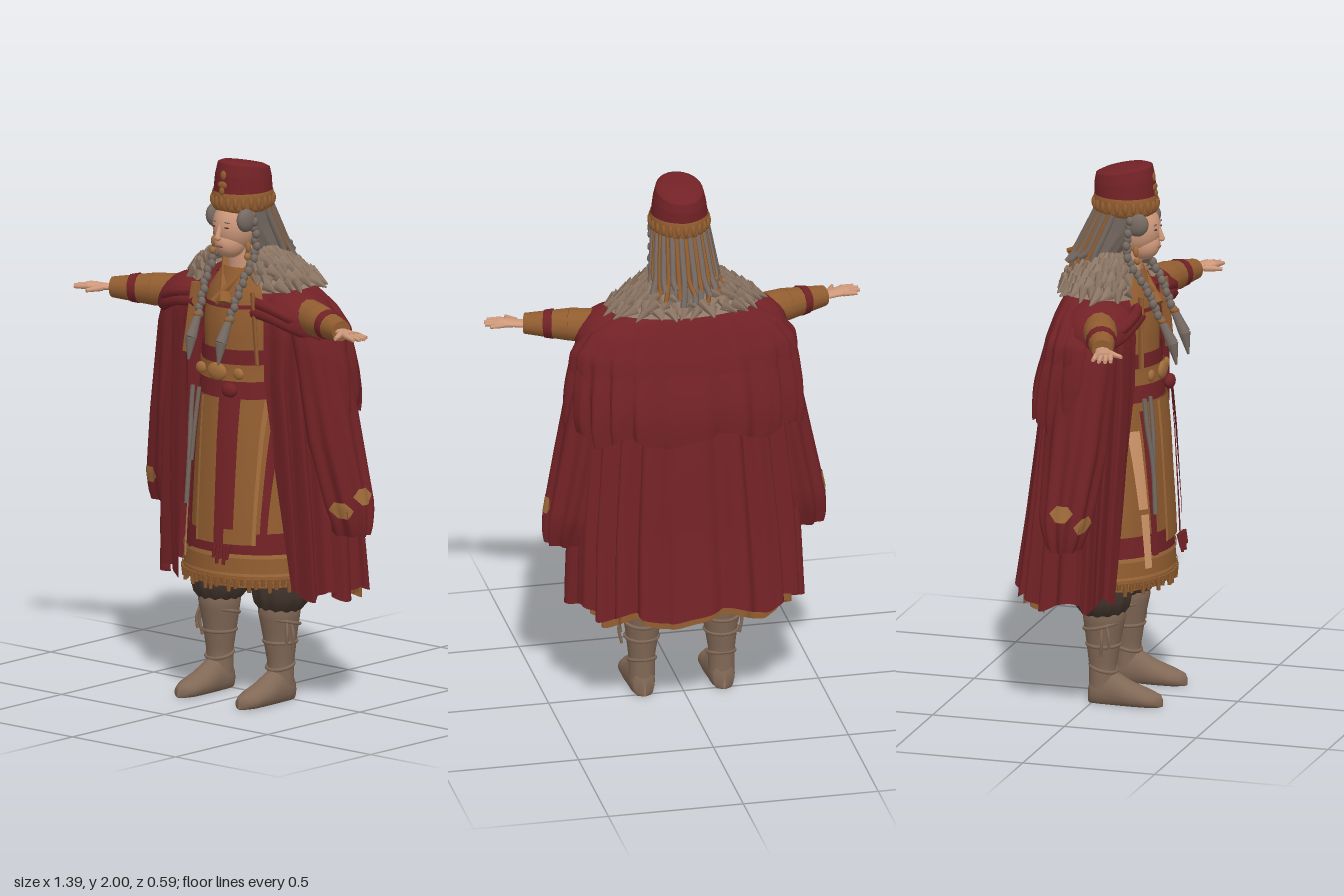
import * as THREE from 'three';
import { mergeGeometries } from 'three/addons/utils/BufferGeometryUtils.js';

const paint = (name, color) => Object.assign(new THREE.MeshStandardMaterial({ color, side: THREE.DoubleSide }), { name });
const V = (x, y, z) => new THREE.Vector3(x, y, z);
const { sin, cos, PI, abs, sign, sqrt, min, max, round } = Math;

// Linear lookup in a small profile table whose first column runs steadily
function at(table, k) {
  let i = 0;
  const up = table[1][0] > table[0][0];
  while (i < table.length - 2 && (up ? k > table[i + 1][0] : k < table[i + 1][0])) i++;
  const a = table[i], b = table[i + 1];
  const t = min(1, max(0, (k - a[0]) / (b[0] - a[0])));
  return a.map((n, j) => n + (b[j] - n) * t);
}

// Surface from a rule fn(u, v) -> [x, y, z]
function sheet(nu, nv, fn, closed = false) {
  const pos = [], idx = [], cols = closed ? nu : nu + 1;
  for (let j = 0; j <= nv; j++) for (let i = 0; i < cols; i++) pos.push(...fn(i / nu, j / nv));
  for (let j = 0; j < nv; j++) for (let i = 0; i < nu; i++) {
    const a = j * cols + i, b = j * cols + (i + 1) % cols, c = a + cols, d = b + cols;
    idx.push(a, c, b, b, c, d);
  }
  const g = new THREE.BufferGeometry();
  g.setAttribute('position', new THREE.Float32BufferAttribute(pos, 3));
  g.setIndex(idx);
  g.computeVertexNormals();
  return g;
}

// Closed elliptical loft; rows are [y, x, z, rx, rz] from top to bottom
const loft = (rows, n = 0, amp = 0, nv = 14) => sheet(n ? 64 : 28, nv, (u, v) => {
  const [y, x, z, rx, rz] = at(rows, rows[0][0] + (rows[rows.length - 1][0] - rows[0][0]) * v);
  const a = u * 2 * PI, k = 1 + amp * v * cos(n * a);
  return [x + rx * k * sin(a), y, z + rz * k * cos(a)];
}, true);

// Tapered rod, ball and smooth cord
function limb(p, q, r1, r2, flat = 1, sides = 14) {
  const d = q.clone().sub(p), g = new THREE.CylinderGeometry(r2, r1, d.length(), sides);
  g.scale(1, 1, flat);
  g.applyQuaternion(new THREE.Quaternion().setFromUnitVectors(V(0, 1, 0), d.normalize()));
  return g.translate((p.x + q.x) / 2, (p.y + q.y) / 2, (p.z + q.z) / 2);
}
const ball = (x, y, z, rx, ry, rz, n = 10) => new THREE.SphereGeometry(1, n, round(n * .7)).scale(rx, ry, rz).translate(x, y, z);
const cord = (pts, r) => new THREE.TubeGeometry(new THREE.CatmullRomCurve3(pts), 10, r, 6);

// Profiles: body [y, z, rx, rz]; cape [y, half width, back, front, opening angle]
const BODY = [[1.6, .06, .08, .08], [1.5, .04, .16, .14], [1.4, .035, .17, .16], [1.24, .03, .165, .165],
  [1, .02, .2, .195], [.7, .02, .235, .21], [.44, .01, .262, .23]];
const CAPE = [[1.59, .13, .08, .08, 150], [1.525, .26, .115, .15, 152], [1.47, .33, .13, .18, 154], [1.4, .365, .145, .185, 156],
  [1.2, .36, .18, .18, 156], [1, .38, .205, .17, 153], [.7, .405, .24, .15, 150], [.42, .415, .28, .13, 147]];

// Strip lying on the front of the body between two x values
const panel = (x0, x1, y0, y1, off) => sheet(6, 14, (u, v) => {
  const [y, z, rx, rz] = at(BODY, y0 + (y1 - y0) * v), x = x0 + (x1 - x0) * u;
  return [x, y, z + off + (rz + .003) * sqrt(max(0, 1 - (x / rx) ** 2))];
});
// Band all round the body
const band = (y0, y1, off) => sheet(48, 2, (u, v) => {
  const [y, z, rx, rz] = at(BODY, y0 + (y1 - y0) * v), a = u * 2 * PI;
  return [(rx + off) * sin(a), y, z + (rz + off) * cos(a)];
}, true);

// Pleated cape wrapped round the back
function cape(y0, y1, spread, grow, bulge, pleat) {
  return sheet(round(220 * spread), 24, (u, v) => {
    const down = y0 + (y1 - y0) * v, [, A, B, F, open] = at(CAPE, down);
    const a = (u * 2 - 1) * open * spread * PI / 180, c = cos(a), s = sin(a);
    const fold = abs(cos(10 * a + .4 * sin(3 * a + v * 2))) - .5 + .2 * sin(27 * a);
    const k = 1 + grow * min(1, v * 4) + bulge * sin(PI * v ** 1.5 * .8) + pleat * min(1, max(0, 1.55 - down) * 2.4) * fold;
    const hem = v * v * .02 * sin(9 * a);
    return [-A * k * sign(s) * abs(s) ** .75, down + hem, -(c > 0 ? B : F) * k * sign(c) * abs(c) ** .8];
  });
}

export function createModel() {
  const model = new THREE.Group();
  const red = paint('deep red cloth', 0x722226), tan = paint('tan cloth', 0x925d30), trim = paint('light trim', 0xa26d3b),
    fur = paint('fur', 0x8f7866), leather = paint('boot leather', 0x816856), dark = paint('dark trousers', 0x43352d),
    skin = paint('skin', 0xcf997b), hair = paint('grey hair', 0x766a62), lip = paint('lips', 0x9c5a4c), pale = paint('pale ribbon', 0xcd9468);
  const add = (name, mat, ...geos) => {
    const m = new THREE.Mesh(geos.length > 1 ? mergeGeometries(geos) : geos[0], mat);
    m.name = name;
    model.add(m);
  };

  // Robe, its bands and hanging panels
  add('robe', tan, loft(BODY.map(([y, z, rx, rz]) => [y, 0, z, rx, rz]), 14, .02, 28));
  add('robeRedBands', red, band(.64, .55, .01), band(1.31, 1.255, .012), band(1.195, 1.13, .012), panel(-.13, .13, 1.475, 1.46, .012));
  add('hemBand', tan, band(.56, .46, .014));
  add('hemTrim', trim, band(.565, .55, .018), band(.495, .485, .018));
  add('belt', tan, band(1.255, 1.195, .018));
  add('buckle', trim, ball(0, 1.225, .215, .045, .033, .015, 16), ball(.09, 1.225, .2, .025, .022, .012), ball(-.09, 1.225, .2, .025, .022, .012));
  add('frontPanel', tan, panel(-.065, .17, 1.13, .6, .02));
  add('panelTrim', trim, panel(-.07, -.058, 1.13, .6, .024), panel(.16, .17, 1.13, .6, .024));
  add('paleRibbon', pale, panel(-.175, -.147, 1.03, .74, .024), panel(-.17, -.145, .72, .52, .022));
  add('sideStrips', red, panel(-.135, -.11, 1.1, .56, .018), panel(.178, .196, 1.02, .56, .018));
  add('sash', red, panel(.03, .07, 1.17, .56, .034), panel(.065, .11, 1.15, .66, .042));
  add('sashKnot', red, ball(.065, 1.165, .222, .035, .028, .02, 14), ...[0, 1, 2, 3, 4].map(i =>
    limb(V(.035 + i * .016, .6, .265), V(.035 + i * .016, .55 - i % 2 * .02, .275), .009, .006, 1, 6)));
  add('hangingCords', hair, cord([V(-.14, 1.15, .19), V(-.14, 1.05, .2), V(-.13, .9, .22), V(-.135, .72, .23)], .009),
    cord([V(-.1, 1.15, .2), V(-.11, 1, .215), V(-.12, .88, .22)], .008));
  const fringe = [];
  for (let i = 0; i < 64; i++) {
    const a = i / 64 * 2 * PI, x = .27 * sin(a), z = .01 + .24 * cos(a);
    fringe.push(limb(V(x, .475, z), V(x, .425 + .012 * (i % 3), z), .012, .007, 1, 5));
  }
  add('hemFringe', tan, ...fringe);

  // Neck and collar lapels
  add('neck', skin, limb(V(0, 1.54, .07), V(0, 1.68, .09), .055, .05));
  add('lapels', tan, ...[1, -1].map(s => limb(V(s * .075, 1.63, .06), V(-s * .03, 1.47, .19), .032, .04, .45)));

  // Cape layers
  add('cape', red, cape(1.59, .42, 1, 0, 0, .1));
  add('capeLining', tan, cape(1.3, .39, .45, -.06, 0, .08));
  add('upperCape', red, cape(1.56, 1.09, .64, .03, .15, .1));
  add('shoulderCape', red, cape(1.565, 1.25, .58, .04, .1, .1));

  // Hanging drapes, patches, front edges and shoulder folds
  const DRAPE = [[1.47, .29, .03, .07, .11], [1.35, .32, .02, .085, .12], [1, .365, 0, .105, .11], [.76, .41, -.02, .105, .09],
    [.69, .425, -.02, .092, .07], [.65, .425, -.02, .085, .055]];
  for (const s of [1, -1]) {
    const side = s > 0 ? 'left' : 'right';
    add(side + 'Drape', red, loft(DRAPE.map(([y, x, z, rx, rz]) => [y, s * x, z, rx, rz]), 9, .13, 26));
    for (const [y, a0] of [[.8, 1.5], [.75, .5]])
      add(side + 'Patch', trim, sheet(10, 6, (u, v) => {
        const p = at(DRAPE, y + .03 - .06 * v), a = a0 + (u - .5) * (.9 - abs(v - .5)), f = 1.015 + .1 * abs(cos(4.5 * a));
        return [s * (p[1] + p[3] * f * sin(a)), p[0], p[2] + p[4] * f * cos(a)];
      }));
    add(side + 'CapeEdge', tan, limb(V(s * .135, 1.53, .175), V(s * .17, 1.27, .188), .02, .018, .4));
    add(side + 'ShoulderMantle', red, new THREE.SphereGeometry(1, 24, 8, 0, 2 * PI, 0, PI / 2)
      .scale(.145, .105, .135).rotateZ(-s * .25).translate(s * .25, 1.435, .05));
    add(side + 'ShoulderFolds', red, ...[0, 1].map(i => cord([V(s * .14, 1.49 - i * .03, .165 + i * .01),
      V(s * .23, 1.48 - i * .03, .175), V(s * .31, 1.45 - i * .03, .15), V(s * .37, 1.41 - i * .03, .07)], .022)));

    // Sleeve, flattened palm and fingers fanning along the arm
    const P = (x, y = 1.45, dz = 0) => V(s * x, y, .07 + (x - .3) * .36 + dz);
    add(side + 'Sleeve', tan, limb(P(.24, 1.455), P(.4, 1.453), .066, .06), limb(P(.4, 1.453), P(.555, 1.447), .06, .038));
    add(side + 'SleeveBand', red, limb(P(.455, 1.452), P(.485, 1.45), .056, .051));
    const palm = [limb(P(.54, 1.446), P(.585, 1.446), .024, .028), limb(P(.575, 1.446), P(.64, 1.446), .026, .034)];
    for (const g of palm) g.translate(0, -1.446, 0).scale(1, .45, 1).translate(0, 1.446, 0);
    const fingers = [[-.026, .68], [-.009, .694], [.009, .692], [.026, .678]].map(([d, tip]) =>
      limb(P(.63, 1.446, d), P(tip, 1.442, d * 1.3 - .008), .011, .007, 1, 8));
    add(side + 'Hand', skin, ...palm, ...fingers, limb(P(.58, 1.445, .02), P(.605, 1.44, .07), .013, .007, 1, 8));

    // Trousers and boots
    add(side + 'Trouser', dark, loft([[.9, s * .09, .02, .1, .11], [.55, s * .135, .03, .11, .11], [.42, s * .147, .035, .108, .108],
      [.37, s * .147, .035, .1, .1], [.335, s * .147, .035, .07, .075]], 12, .035, 18));
    add(side + 'BootShaft', leather, loft([[.35, s * .145, .04, .074, .078], [.33, s * .145, .04, .076, .08], [.25, s * .145, .037, .063, .066],
      [.14, s * .148, .035, .048, .05], [.06, s * .148, .035, .048, .05]]));
    const FOOT = [[-.02, .004, .05], [-.014, .035, .09], [.02, .047, .12], [.08, .05, .12], [.14, .053, .085], [.21, .05, .06], [.25, .028, .045], [.262, .002, .03]];
    add(side + 'BootFoot', leather, sheet(22, 24, (u, v) => {
      const [z, w, h] = at(FOOT, -.02 + .282 * v), a = u * 2 * PI;
      return [s * .148 - w * cos(a), max(0, h * (.4 + .6 * sin(a))), z];
    }, true));
    add(side + 'BootStraps', leather, ...[[.295, .072], [.22, .06], [.13, .05]].map(([y, r], i) =>
      new THREE.TorusGeometry(r, .007, 6, 24).rotateX(PI / 2 + (i - 1) * .25).translate(s * .147, y, .037)));
    add(side + 'BootTies', leather, cord([V(s * .212, .3, .05), V(s * .228, .25, .055), V(s * .218, .19, .05)], .006),
      cord([V(s * .21, .3, .07), V(s * .22, .26, .08), V(s * .215, .22, .08)], .006));

    // Thin braid with a loose end, earring, eye and brow
    const braid = new THREE.CatmullRomCurve3([V(s * .088, 1.8, .12), V(s * .093, 1.67, .11), V(s * .086, 1.55, .18), V(s * .075, 1.43, .232)]);
    const beads = [];
    for (let i = 0; i <= 17; i++) {
      const p = braid.getPoint(i / 17);
      beads.push(ball(p.x + (i % 2 - .5) * .008, p.y, p.z, .015, .018, .015));
    }
    add(side + 'Braid', hair, ...beads, limb(V(s * .075, 1.43, .235), V(s * .073, 1.35, .275), .014, .022, 1, 10),
      limb(V(s * .073, 1.35, .275), V(s * .072, 1.27, .29), .022, .004, 1, 10));
    add(side + 'BraidTie', tan, ball(s * .075, 1.43, .236, .018, .012, .018));
    add(side + 'Earring', trim, ball(s * .084, 1.685, .14, .01, .02, .01), ball(s * .084, 1.65, .145, .012, .014, .012));
    add(side + 'Temple', hair, ball(s * .075, 1.785, .14, .026, .045, .045, 14));
    add(side + 'Eye', dark, ball(s * .03, 1.757, .198, .013, .003, .004));
    add(side + 'Brow', hair, ball(s * .031, 1.776, .197, .016, .0025, .004));
  }

  // Head and face
  add('face', skin, ball(0, 1.755, .115, .077, .1, .09, 24), ball(0, 1.695, .142, .054, .06, .062, 24));
  add('nose', skin, limb(V(0, 1.765, .198), V(0, 1.72, .212), .007, .011, 1, 10), ball(0, 1.718, .211, .013, .01, .012));
  add('mouth', lip, ball(0, 1.686, .203, .018, .005, .004));

  // Hair falling from under the hat, mixed with ribbons
  add('hair', hair, loft([[1.84, 0, .07, .1, .1], [1.75, 0, .045, .098, .095], [1.66, 0, -.01, .108, .09], [1.57, 0, -.05, .115, .075]], 16, .04));
  const locks = [[], []];
  for (let i = 0; i < 19; i++) {
    const a = (i / 18 - .5) * 2.9, s = sin(a), c = cos(a), low = 1.59 + (i * 7 % 5) * .016;
    locks[i % 2].push(cord([V(.1 * s, 1.82, .07 - .1 * c), V(.112 * s, 1.74, .04 - .11 * c), V(.122 * s, 1.67, .01 - .115 * c),
      V(.13 * s + .012 * sin(i * 4), low, -.01 - .13 * c)], .009 + .003 * (i % 2 ? 0 : 1)));
  }
  add('hairLocks', hair, ...locks[0]);
  add('hairRibbons', tan, ...locks[1]);

  // Tilted hat with headband and ornament
  const hat = loft([[1.986, 0, .07, .001, .001], [1.983, 0, .07, .06, .075], [1.972, 0, .07, .085, .104], [1.93, 0, .072, .096, .112], [1.85, 0, .075, .106, .114]], 0, 0, 28);
  const hp = hat.attributes.position;
  for (let i = 0; i < hp.count; i++) hp.setY(i, hp.getY(i) + (hp.getZ(i) - .07) * .2 * max(0, (hp.getY(i) - 1.86) / .12));
  hat.computeVertexNormals();
  add('hat', red, hat);
  add('headband', tan, loft([[1.88, 0, .075, .105, .114], [1.87, 0, .075, .108, .117], [1.82, 0, .075, .106, .117], [1.81, 0, .075, .098, .108]], 0, 0, 8));
  const studs = [];
  for (let i = 0; i < 24; i++) {
    const a = i / 24 * 2 * PI;
    studs.push(ball(.106 * sin(a), 1.845, .075 + .116 * cos(a), .009, .022, .009));
  }
  add('headbandStuds', tan, ...studs);
  add('hatOrnament', tan, ball(0, 1.945, .181, .014, .018, .006), ball(0, 1.91, .186, .022, .014, .006), ball(0, 1.888, .19, .012, .014, .006));

  // Fur collar: sloping base covered with rows of broad tufts
  const furPoint = (a, t) => {
    const c = cos(a), r = .085 + .195 * t, front = max(0, -c);
    return V(-r * sin(a), 1.655 - (.105 + .03 * front) * t ** 1.3, .045 * (1 - t) - c * (c > 0 ? .07 + .075 * t : .06 + .115 * t));
  };
  add('furCollar', fur, sheet(48, 8, (u, v) => furPoint((u - .5) * 5.1, v).toArray()));
  const tufts = [];
  for (let row = 0; row < 6; row++) for (let i = 0; i < 26; i++) {
    const a = ((i + row % 2 * .5) / 26 - .5) * 5.1, t = .06 + row * .155, p = furPoint(a, t);
    const q = furPoint(a + .13 * sin(i * 5 + row * 3), t + .27 + .06 * sin(i * 3 + row));
    q.y += .012;
    tufts.push(limb(p, q, .032, .003, .6, 6));
  }
  add('furTufts', fur, ...tufts);
  return model;
}
